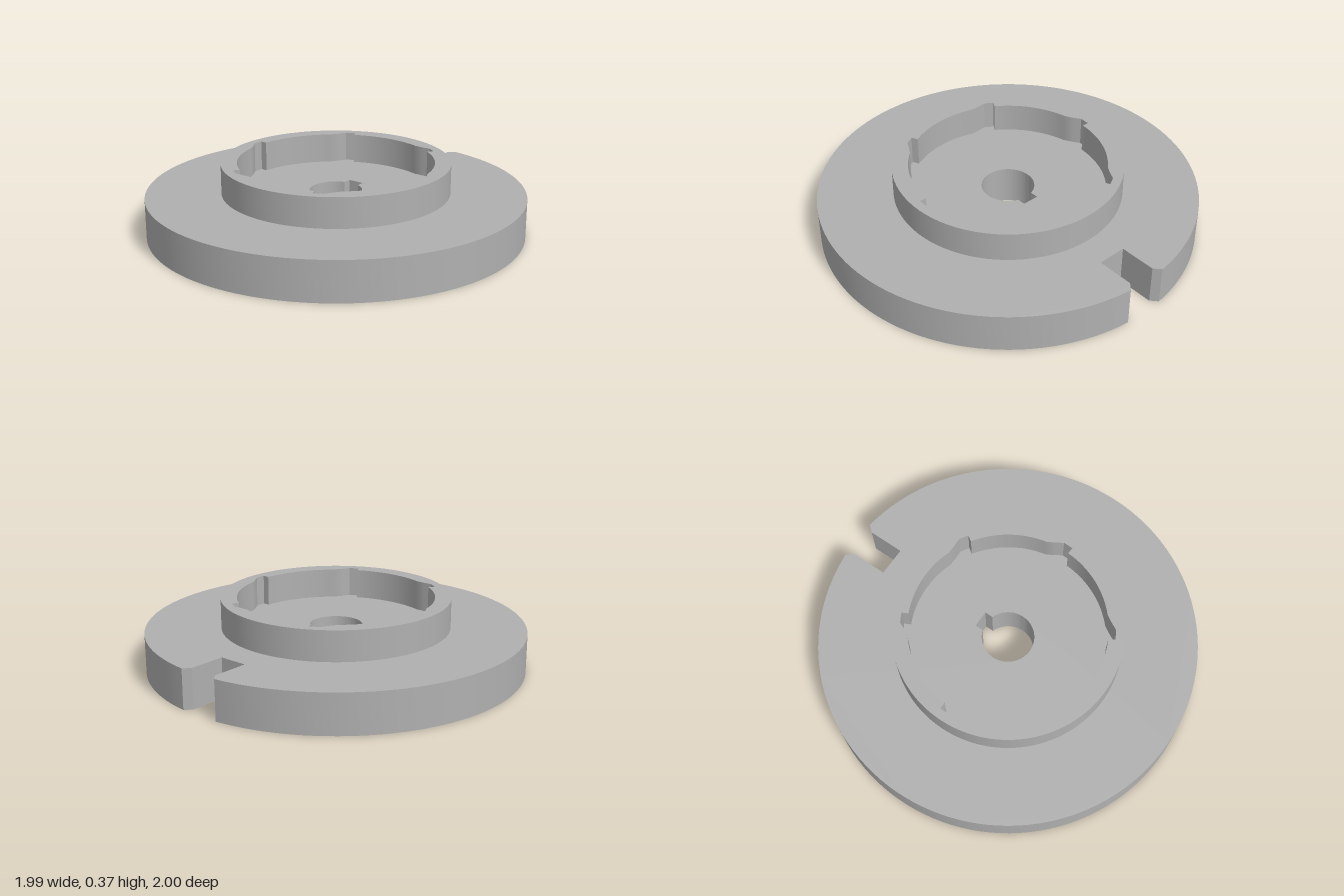
import * as THREE from 'three';
import { toCreasedNormals } from 'three/addons/utils/BufferGeometryUtils.js';

const RAD = Math.PI / 180;
const DISC_TOP = 0.21, RING_TOP = 0.37, ENGRAVE = 0.018;

const polar = (r, deg) => new THREE.Vector2(r * Math.cos(deg * RAD), r * Math.sin(deg * RAD));

// Extrude a plan shape upwards from y0 to y1
function slab(name, shape, y0, y1, material) {
  const geo = new THREE.ExtrudeGeometry(shape, { depth: y1 - y0, bevelEnabled: false, curveSegments: 60 });
  geo.rotateX(-Math.PI / 2);
  geo.translate(0, y0, 0);
  const mesh = new THREE.Mesh(toCreasedNormals(geo, 0.4), material);
  mesh.name = name;
  return mesh;
}

// Round bore with a square keyway on +x
function borePath() {
  const r = 0.139, half = 0.045, a = Math.asin(half / r);
  const path = new THREE.Path();
  path.absarc(0, 0, r, a, 2 * Math.PI - a, false);
  path.lineTo(0.177, -half);
  path.lineTo(0.177, half);
  path.closePath();
  return path;
}

// Disc outline with the chamfered slot; optionally the straight arrow opening into it
function discShape(withArrow) {
  const shape = new THREE.Shape();
  const a = Math.asin(0.11);
  shape.absarc(0, 0, 1, a, 2 * Math.PI - a, false);
  const lower = [[0.958, -0.078], [0.763, -0.078]];
  if (withArrow) lower.push([0.763, -0.06], [0.705, -0.06], [0.705, -0.018], [0.452, -0.018]);
  const upper = lower.map(([x, y]) => [x, -y]).reverse();
  [...lower, ...upper].forEach(([x, y]) => shape.lineTo(x, y));
  shape.closePath();
  shape.holes.push(borePath());
  return shape;
}

// Curved arrow running clockwise from tail to tip
function arcArrow(turn) {
  const tail = turn + 60.2, neck = turn + 20.5, path = new THREE.Path();
  path.absarc(0, 0, 0.856, tail * RAD, neck * RAD, true);
  for (const p of [polar(0.885, turn + 21.5), polar(0.845, turn + 13.3), polar(0.772, turn + 19)]) path.lineTo(p.x, p.y);
  path.absarc(0, 0, 0.824, neck * RAD, tail * RAD, false);
  path.closePath();
  return path;
}

// Collar with six ratchet pockets inside
function collarShape() {
  const shape = new THREE.Shape();
  shape.absarc(0, 0, 0.603, 0, 2 * Math.PI, false);
  const inner = new THREE.Path();
  for (let i = 0; i < 6; i++) {
    const s = 26.8 + i * 60;
    const pocket = [polar(0.518, s), polar(0.555, s), polar(0.556, s + 5.5), polar(0.535, s + 9.5)];
    pocket.forEach((p, j) => (i || j ? inner.lineTo(p.x, p.y) : inner.moveTo(p.x, p.y)));
    inner.absarc(0, 0, 0.518, (s + 14.5) * RAD, (s + 60) * RAD, false);
  }
  inner.closePath();
  shape.holes.push(inner);
  return shape;
}

export function createModel() {
  const group = new THREE.Group();
  group.name = 'indexingDisc';
  const grey = new THREE.MeshStandardMaterial({ color: 0xb0b0b0 });
  grey.name = 'grey';

  // Thin underside layer carrying the engraved arrows
  const underside = discShape(true);
  for (let i = 0; i < 3; i++) underside.holes.push(arcArrow(i * 120));

  group.add(
    slab('engravedUnderside', underside, 0, ENGRAVE, grey),
    slab('disc', discShape(false), ENGRAVE, DISC_TOP, grey),
    slab('ratchetCollar', collarShape(), DISC_TOP, RING_TOP, grey)
  );
  group.position.x = 0.003;
  return group;
}
